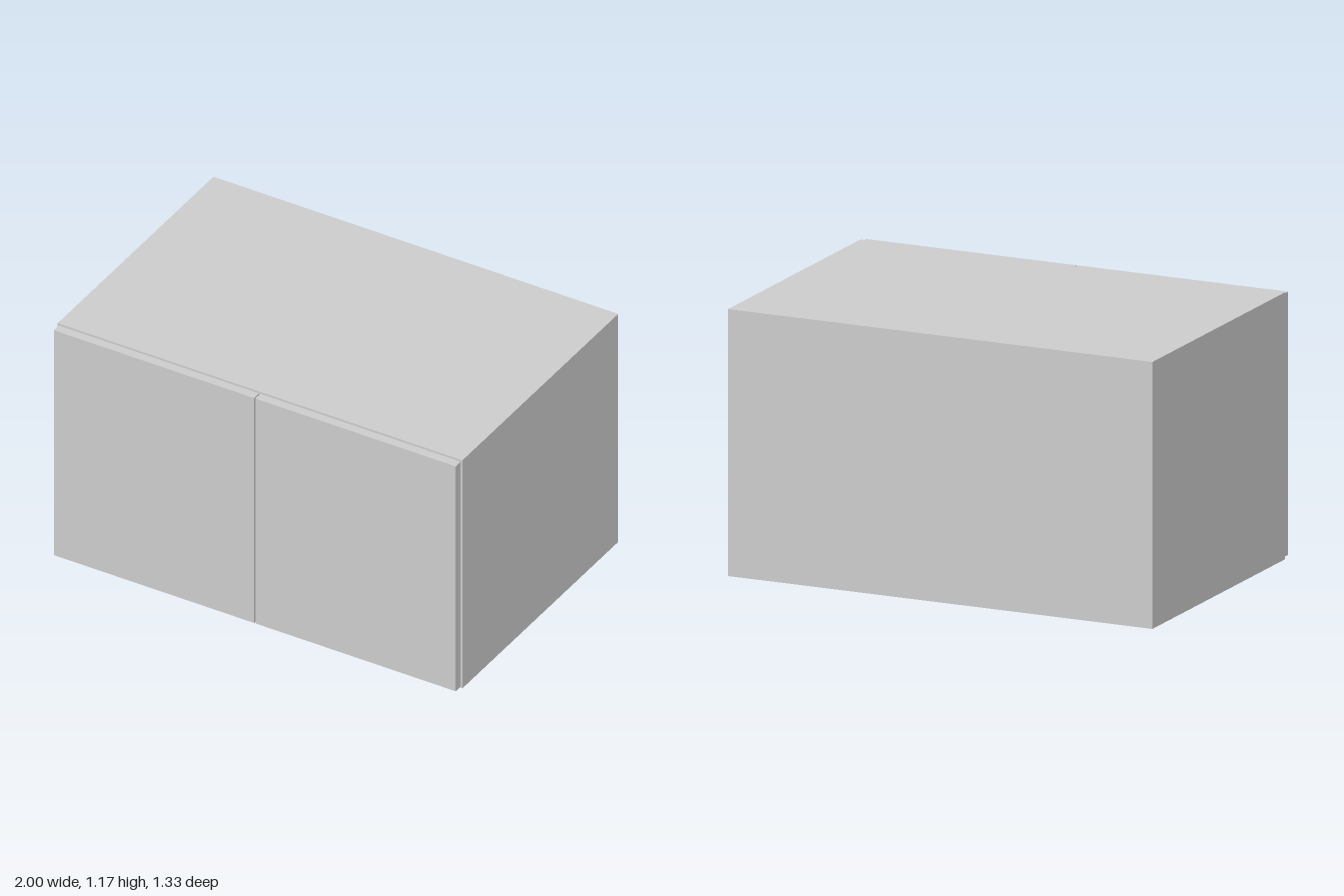
import * as THREE from 'three';

const W = 2, H = 1.17, T = 0.04;      // width, height, board thickness
const BACK = -0.663, FRONT = 0.619;   // carcass depth range
const BACK_T = 0.006;

export function createModel() {
  const cabinet = new THREE.Group();
  cabinet.name = 'cabinet';
  const material = new THREE.MeshStandardMaterial({ color: 0xcccccc });

  // Board given by its minimum and maximum corners
  const board = (name, [x0, y0, z0], [x1, y1, z1]) => {
    const mesh = new THREE.Mesh(new THREE.BoxGeometry(x1 - x0, y1 - y0, z1 - z0), material);
    mesh.position.set((x0 + x1) / 2, (y0 + y1) / 2, (z0 + z1) / 2);
    mesh.name = name;
    cabinet.add(mesh);
  };

  const inner = W / 2 - T, zb = BACK + BACK_T;

  // Horizontal boards between the side panels
  for (const [name, y] of [['bottomPanel', 0], ['shelf', (H - T) / 2], ['topPanel', H - T]])
    board(name, [-inner, y, zb], [inner, y + T, FRONT]);

  // Thin back covering the whole carcass
  board('backPanel', [-W / 2, 0, BACK], [W / 2, H, zb]);

  // Side panels and doors, mirrored; doors leave narrow gaps all round
  for (const [side, s] of [['left', 1], ['right', -1]]) {
    const span = (a, b) => (s > 0 ? [a, b] : [-b, -a]);
    const [p0, p1] = span(inner, W / 2);
    board(side + 'SidePanel', [p0, 0, zb], [p1, H, FRONT]);
    const [d0, d1] = span(0.003, 0.993);
    board(side + 'Door', [d0, 0.008, FRONT + 0.003], [d1, H - 0.008, 0.663]);
  }
  return cabinet;
}
